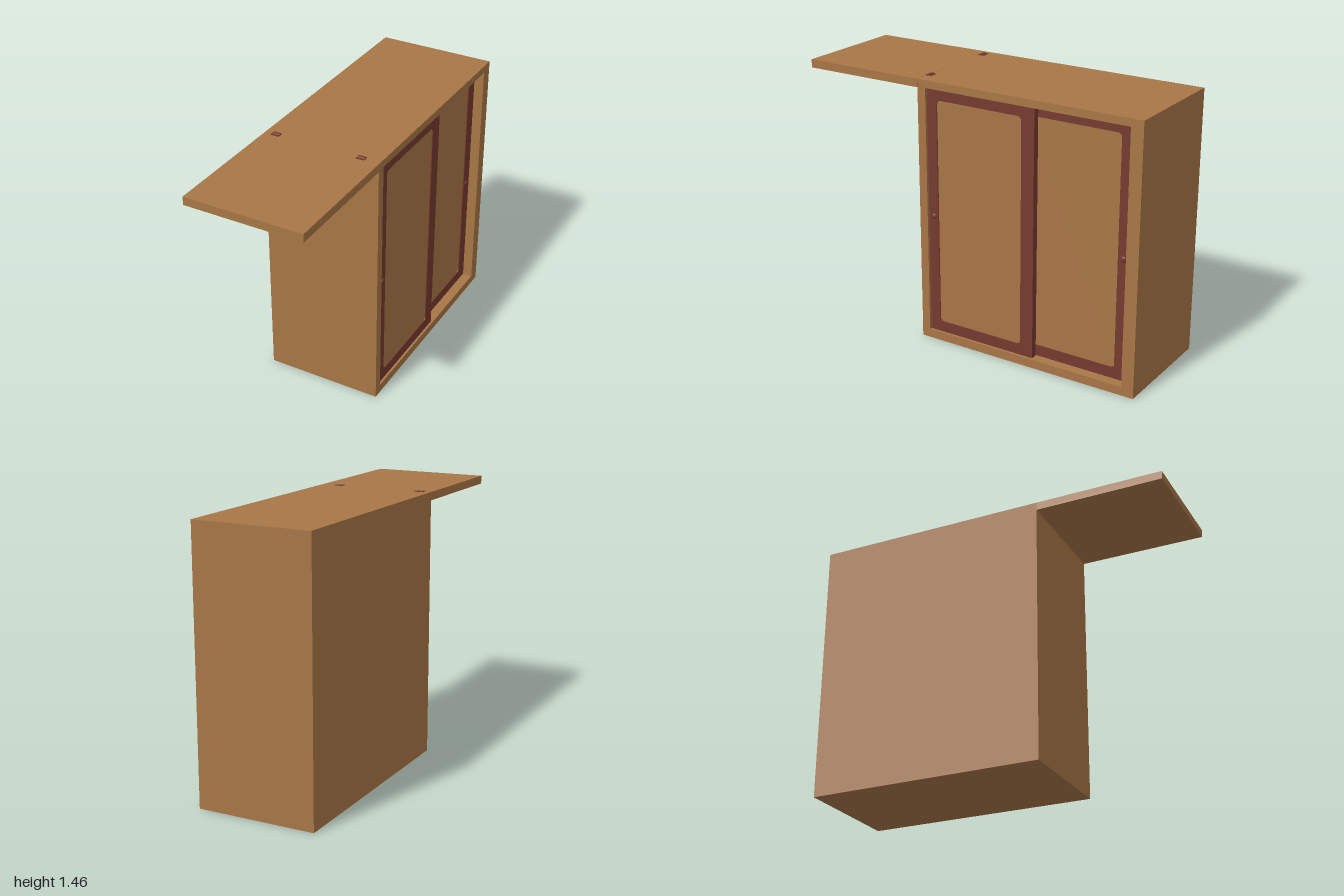
import * as THREE from 'three';

const wood = new THREE.MeshStandardMaterial({ color: 0xa87646 });
wood.name = 'oak wood';
const trim = new THREE.MeshStandardMaterial({ color: 0x743a2f });
trim.name = 'reddish brown trim';

const HALF_W = 0.325, HEIGHT = 1.455, BACK = -1, FRONT = 0.295;

// Box given by its limits on each axis
function box(name, material, [x0, x1], [y0, y1], [z0, z1]) {
  const mesh = new THREE.Mesh(new THREE.BoxGeometry(x1 - x0, y1 - y0, z1 - z0), material);
  mesh.position.set((x0 + x1) / 2, (y0 + y1) / 2, (z0 + z1) / 2);
  mesh.name = name;
  return mesh;
}

// Rounded rectangle outline in (-z, y)
function outline(z0, z1, y0, y1, r, Type = THREE.Shape) {
  const a = -z1, b = -z0, s = new Type();
  if (r === 0) {
    s.moveTo(a, y0).lineTo(b, y0).lineTo(b, y1).lineTo(a, y1).closePath();
    return s;
  }
  s.moveTo(a + r, y0);
  s.lineTo(b - r, y0);
  s.absarc(b - r, y0 + r, r, -Math.PI / 2, 0);
  s.lineTo(b, y1 - r);
  s.absarc(b - r, y1 - r, r, 0, Math.PI / 2);
  s.lineTo(a + r, y1);
  s.absarc(a + r, y1 - r, r, Math.PI / 2, Math.PI);
  s.lineTo(a, y0 + r);
  s.absarc(a + r, y0 + r, r, Math.PI, Math.PI * 1.5);
  return s;
}

// Extrude an outline along +x, from x0 to x1
function slab(name, material, shape, x0, x1) {
  const geo = new THREE.ExtrudeGeometry(shape, { depth: x1 - x0, bevelEnabled: false, curveSegments: 6 });
  geo.rotateY(Math.PI / 2).translate(x0, 0, 0);
  const mesh = new THREE.Mesh(geo, material);
  mesh.name = name;
  return mesh;
}

// Sliding door: frame, inset panel and round finger pull
function slidingDoor(name, z0, z1, faceX, pullZ) {
  const door = new THREE.Group();
  door.name = name;
  const y0 = 0.05, y1 = 1.412, thick = 0.036;
  const inner = [z0 + 0.075, z1 - 0.06, y0 + 0.06, y1 - 0.056];
  if (pullZ < (z0 + z1) / 2) { inner[0] = z0 + 0.07; inner[1] = z1 - 0.075; }
  const frame = outline(z0, z1, y0, y1, 0);
  frame.holes.push(outline(...inner, 0.022, THREE.Path));
  door.add(slab('doorFrame', trim, frame, faceX - thick, faceX));
  door.add(slab('doorPanel', wood, outline(...inner, 0.022), faceX - thick + 0.006, faceX - 0.005));

  const pull = new THREE.Mesh(new THREE.SphereGeometry(0.016, 16, 10), trim);
  pull.scale.x = 0.5;
  pull.position.set(faceX, 0.715, pullZ);
  pull.name = 'doorPull';
  door.add(pull);
  return door;
}

// Hinge: two thin leaves and a pin across the seam
function hinge(x) {
  const g = new THREE.Group();
  g.name = 'hinge';
  for (const s of [-1, 1]) {
    const zs = [FRONT - 0.011 + s * 0.009 - 0.008, FRONT - 0.011 + s * 0.009 + 0.008];
    g.add(box('hingeLeaf', trim, [x - 0.023, x + 0.023], [HEIGHT - 0.002, HEIGHT + 0.003], zs));
  }
  const pin = new THREE.Mesh(new THREE.CylinderGeometry(0.005, 0.005, 0.046, 10), trim);
  pin.rotation.z = Math.PI / 2;
  pin.position.set(x, HEIGHT + 0.002, FRONT - 0.011);
  pin.name = 'hingePin';
  g.add(pin);
  return g;
}

export function createModel() {
  const model = new THREE.Group();
  model.name = 'foldingTopCabinet';

  // Cabinet body with a recessed door opening on its left side
  const recessX = 0.232;
  model.add(box('cabinetBody', wood, [-HALF_W, recessX], [0, HEIGHT], [BACK, FRONT]));
  const surround = outline(BACK, FRONT, 0, HEIGHT, 0);
  surround.holes.push(outline(-0.932, 0.247, 0.048, 1.414, 0, THREE.Path));
  model.add(slab('doorSurround', wood, surround, recessX, HALF_W));

  // Doors on two tracks
  model.add(slidingDoor('outerDoor', -0.4, 0.245, 0.313, 0.215));
  model.add(slidingDoor('innerDoor', -0.93, -0.285, 0.271, -0.89));

  // Fold-out top leaf and its hinges
  model.add(box('foldingLeaf', wood, [-HALF_W, HALF_W], [1.41, HEIGHT], [FRONT + 0.001, 1]));
  for (const x of [-0.262, 0.222]) model.add(hinge(x));

  return model;
}
